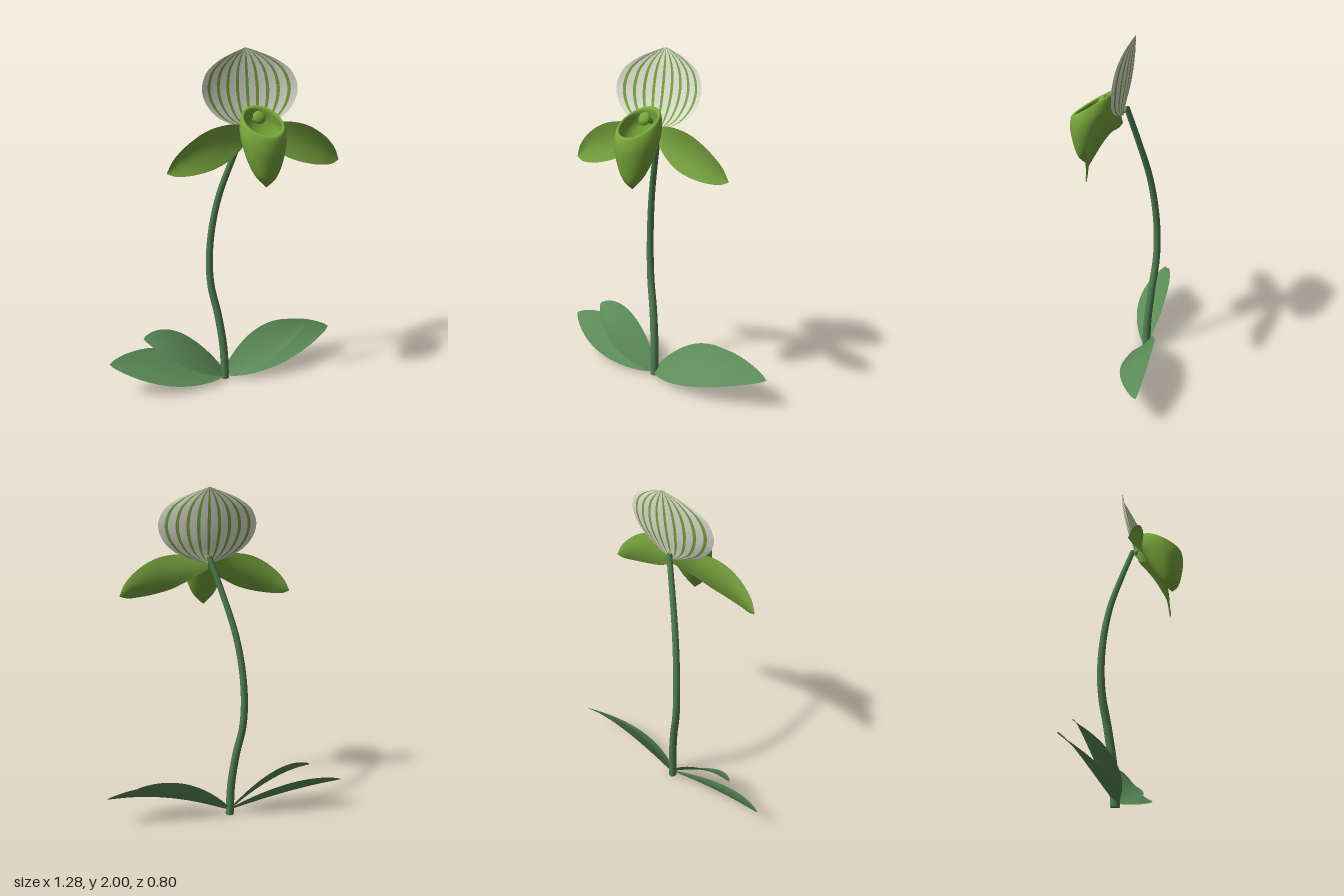
import * as THREE from 'three';
import { mergeVertices, mergeGeometries } from 'three/addons/utils/BufferGeometryUtils.js';

const V = (x, y, z) => new THREE.Vector3(x, y, z);
const curve = (pts) => new THREE.CatmullRomCurve3(pts.map((p) => V(...p)));

const mat = (name, color) => {
  const m = new THREE.MeshStandardMaterial({ color, side: THREE.DoubleSide });
  m.name = name;
  return m;
};

// Smooth surface from a rule fn(u, v) with u and v in 0..1
function sheet(nu, nv, fn) {
  const pos = [], index = [];
  for (let j = 0; j <= nv; j++)
    for (let i = 0; i <= nu; i++) pos.push(...fn(i / nu, j / nv).toArray());
  for (let j = 0; j < nv; j++)
    for (let i = 0; i < nu; i++) {
      const a = j * (nu + 1) + i, b = a + 1, c = a + nu + 1, d = c + 1;
      index.push(a, b, d, a, d, c);
    }
  let geo = new THREE.BufferGeometry();
  geo.setAttribute('position', new THREE.Float32BufferAttribute(pos, 3));
  geo.setIndex(index);
  geo = mergeVertices(geo, 1e-5);
  geo.computeVertexNormals();
  return geo;
}

function add(parent, name, geo, material) {
  const mesh = new THREE.Mesh(geo, material);
  mesh.name = name;
  parent.add(mesh);
  return mesh;
}

// Arched, pointed leaf: a spine with a tilted width vector
function leafGeometry(ctrl, tip, half) {
  const spine = new THREE.QuadraticBezierCurve3(V(0, 0.03, 0.02), V(...ctrl), V(...tip));
  const side = V(...half);
  return sheet(12, 32, (u, t) => {
    const s = u * 2 - 1;
    const w = Math.pow(Math.sin(Math.PI * Math.pow(t, 0.95)), 0.75) * (1 - t * 0.1) + 0.1 * (1 - t);
    const p = spine.getPoint(t).addScaledVector(side, s * w);
    p.y += 0.02 * w * (s * s - 0.5);
    return p;
  });
}

// Tapering flower stalk
function stemGeometry() {
  const path = curve([
    [0, 0, 0.022], [-0.01, 0.2, 0.018], [-0.045, 0.42, 0.012], [-0.086, 0.6, 0.01],
    [-0.096, 0.76, 0.01], [-0.08, 0.96, 0.014], [-0.035, 1.17, 0.022],
    [0.045, 1.39, 0.034], [0.135, 1.61, 0.046],
  ]);
  const rings = 80, sides = 16;
  const geo = new THREE.TubeGeometry(path, rings, 1, sides);
  const pos = geo.attributes.position, p = V();
  for (let i = 0; i <= rings; i++) {
    const c = path.getPointAt(i / rings), r = 0.026 - 0.01 * (i / rings);
    for (let j = 0; j <= sides; j++) {
      const k = i * (sides + 1) + j;
      p.fromBufferAttribute(pos, k).sub(c).multiplyScalar(r).add(c);
      pos.setXYZ(k, p.x, Math.max(p.y, 0), p.z);
    }
  }
  const bottom = new THREE.CircleGeometry(0.026, sides).rotateX(Math.PI / 2).translate(0, 0, 0.022);
  return mergeGeometries([geo, bottom]);
}

export function createModel() {
  const model = new THREE.Group();
  model.name = 'slipperOrchid';
  const leafGreen = mat('leaf green', 0x5c8c58);
  const stemGreen = mat('stem green', 0x4f7f50);
  const petalGreen = mat('petal green', 0x76a23e);
  const lipGreen = mat('lip green', 0x78a83a);
  const white = mat('sepal white', 0xe2e5d8);
  const stripeGreen = mat('stripe green', 0x82a83c);

  // Leaves: two on each side, faces tilted forward
  const leaves = new THREE.Group();
  leaves.name = 'leaves';
  model.add(leaves);
  [
    ['leftOuterLeaf', [0.325, 0.225, -0.125], [0.63, 0.195, -0.4], [-0.053, 0.09, -0.084]],
    ['leftInnerLeaf', [0.26, 0.225, -0.1], [0.48, 0.245, -0.32], [-0.04, 0.078, -0.066]],
    ['rightOuterLeaf', [-0.36, 0.165, 0.255], [-0.64, 0.2, 0.33], [-0.044, 0.08, -0.085]],
    ['rightInnerLeaf', [-0.25, 0.29, 0.2], [-0.46, 0.325, 0.22], [-0.04, 0.075, -0.08]],
  ].forEach(([name, ctrl, tip, half]) => add(leaves, name, leafGeometry(ctrl, tip, half), leafGreen));

  add(model, 'stem', stemGeometry(), stemGreen);

  const flower = new THREE.Group();
  flower.name = 'flower';
  flower.position.set(0.14, 1.6, 0.05);
  flower.rotation.y = Math.PI / 6;
  model.add(flower);

  // Upper sepal: cupped hood (half width, height, depth), cut into white and striped bands
  const hood = curve([
    [0.02, -0.03, 0.012], [0.12, 0, 0.008], [0.2, 0.04, 0], [0.262, 0.11, -0.018],
    [0.283, 0.19, -0.033], [0.25, 0.275, -0.045], [0.17, 0.335, -0.052],
    [0.08, 0.373, -0.056], [0, 0.4, -0.06],
  ]);
  const hoodBand = (s0, s1) => sheet(4, 40, (u, t) => {
    const s = s0 + (s1 - s0) * u, h = hood.getPoint(t);
    return V(s * h.x, h.y, h.z + 0.18 * s * s * h.x);
  });
  const whiteBands = [], stripes = [];
  let edge = -1;
  for (let i = -4; i <= 4; i++) {
    const c = i * 0.21;
    whiteBands.push(hoodBand(edge, c - 0.032));
    stripes.push(hoodBand(c - 0.032, c + 0.032));
    edge = c + 0.032;
  }
  whiteBands.push(hoodBand(edge, 1));
  add(flower, 'upperSepal', mergeGeometries(whiteBands), white);
  add(flower, 'sepalStripes', mergeGeometries(stripes), stripeGreen);

  // Drooping side petals between an upper and a lower edge
  const upper = curve([
    [0, -0.02, 0.02], [0.1, 0.005, 0.08], [0.18, 0.01, 0.11], [0.29, -0.012, 0.125],
    [0.4, -0.075, 0.128], [0.48, -0.155, 0.118], [0.513, -0.222, 0.108],
  ]);
  const lower = curve([
    [0, -0.07, 0.03], [0.1, -0.14, 0.095], [0.2, -0.195, 0.13], [0.3, -0.226, 0.145],
    [0.4, -0.242, 0.14], [0.47, -0.243, 0.122], [0.513, -0.228, 0.108],
  ]);
  for (const side of [1, -1]) {
    const geo = sheet(10, 32, (u, t) => {
      const p = upper.getPoint(t).lerp(lower.getPoint(t), u);
      p.z -= 0.02 * Math.sin(Math.PI * u) * Math.sin(Math.PI * t);
      p.x *= side;
      return p;
    });
    add(flower, side > 0 ? 'leftPetal' : 'rightPetal', geo, petalGreen);
  }

  // Pouch lip: tilted rings from the inside floor, over the rim, to the outer tip
  // Each row: radius, front y, front z, back y, back z
  const rings = [
    [0.005, -0.2, 0.23, -0.2, 0.22], [0.08, -0.14, 0.272, -0.11, 0.13],
    [0.108, -0.07, 0.288, 0.01, 0.072], [0.1, -0.035, 0.28, 0.09, 0.078],
    [0.112, -0.038, 0.298, 0.1, 0.06], [0.125, -0.1, 0.31, 0.03, 0.055],
    [0.108, -0.18, 0.3, -0.1, 0.1], [0.065, -0.27, 0.275, -0.22, 0.165],
    [0.003, -0.315, 0.237, -0.315, 0.233],
  ];
  const lipFront = curve(rings.map(([r, y, z]) => [r, y, z]));
  const lipBack = curve(rings.map(([r, , , y, z]) => [r, y, z]));
  add(flower, 'pouchLip', sheet(40, 64, (u, v) => {
    const a = u * Math.PI * 2, f = lipFront.getPoint(v), b = lipBack.getPoint(v);
    const k = (1 - Math.cos(a)) / 2;
    return V(-f.x * Math.sin(a), b.y + (f.y - b.y) * k, b.z + (f.z - b.z) * k);
  }), lipGreen);

  // Column with a rounded shield in the mouth of the pouch
  const shield = add(flower, 'columnShield', new THREE.SphereGeometry(0.036, 24, 16), lipGreen);
  shield.scale.z = 0.55;
  shield.position.set(0, 0.043, 0.128);
  shield.rotation.x = -0.45;
  const column = new THREE.TubeGeometry(curve([[0, -0.005, 0], [0, 0.02, 0.06], [0, 0.04, 0.122]]), 12, 0.016, 12);
  add(flower, 'column', column, lipGreen);

  return model;
}
